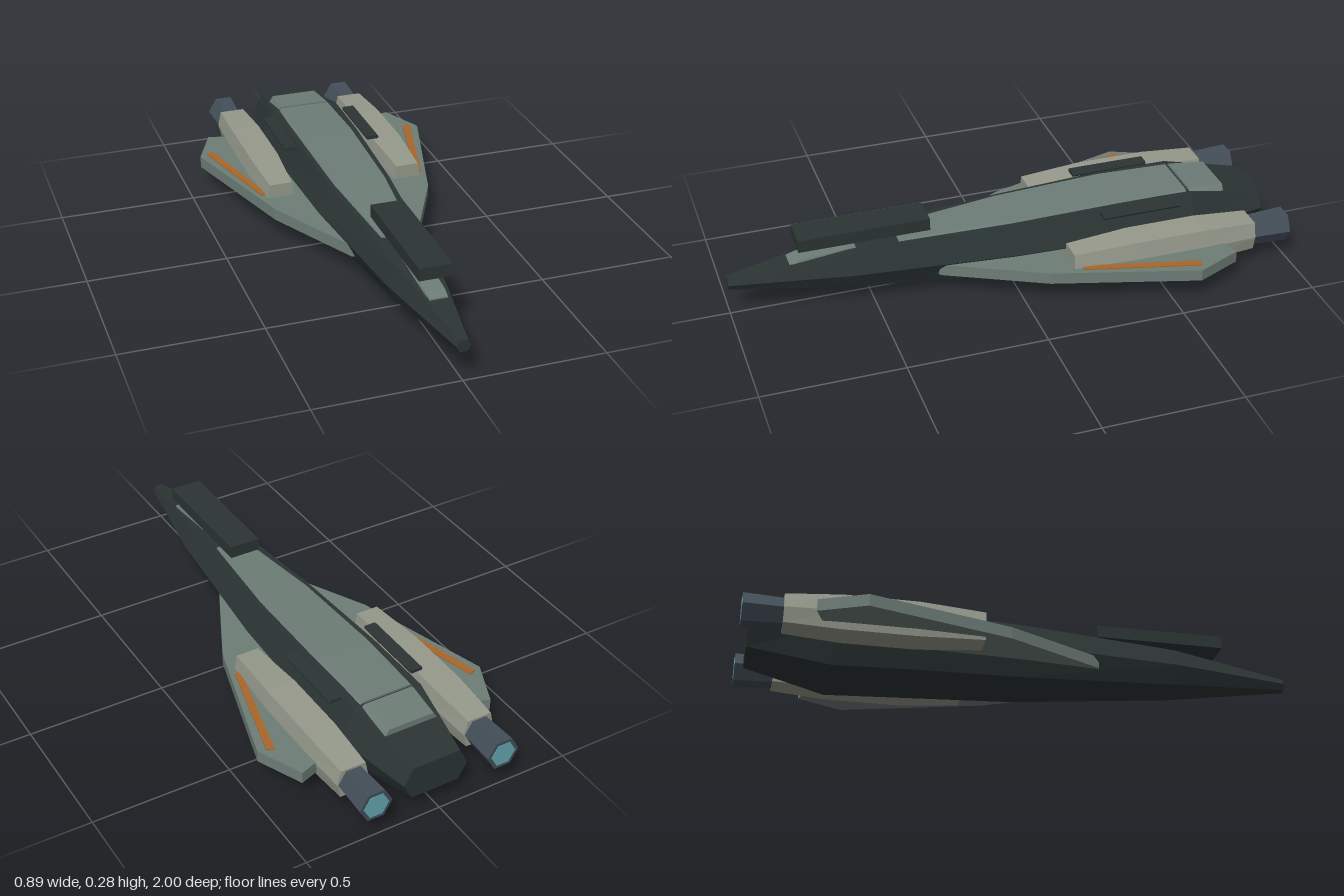
import * as THREE from 'three';

const mat = (name, color, extra = {}) => {
  const m = new THREE.MeshStandardMaterial({ color, flatShading: true, ...extra });
  m.name = name;
  return m;
};

// Joins rings of [x, y, z] points (counter-clockwise from the front, ordered nose to tail) and caps the ends.
function loft(rings) {
  const pos = [], n = rings[0].length;
  const tri = (...pts) => pts.forEach(p => pos.push(...p));
  for (let i = 0; i < rings.length - 1; i++) {
    const f = rings[i], r = rings[i + 1];
    for (let k = 0; k < n; k++) {
      const m = (k + 1) % n;
      tri(f[k], r[k], r[m]);
      tri(f[k], r[m], f[m]);
    }
  }
  const first = rings[0], last = rings[rings.length - 1];
  for (let k = 1; k < n - 1; k++) {
    tri(first[0], first[k], first[k + 1]);
    tri(last[0], last[k + 1], last[k]);
  }
  const g = new THREE.BufferGeometry();
  g.setAttribute('position', new THREE.Float32BufferAttribute(pos, 3));
  g.computeVertexNormals();
  return g;
}

// Six-sided section: half width at the waist, half width of the flats, bottom, waist and top heights.
const hex = (z, waist, flat, y0, ym, y1) => [
  [waist, ym, z], [flat, y1, z], [-flat, y1, z], [-waist, ym, z], [-flat, y0, z], [flat, y0, z],
];

// Trapezoid section for the raised deck panels.
const trap = (z, base, top, y0, y1) => [[base, y0, z], [top, y1, z], [-top, y1, z], [-base, y0, z]];

// Flat outline of [x, z] points with thickness upward from y.
function plate(points, y, thickness) {
  const shape = new THREE.Shape(points.map(([x, z]) => new THREE.Vector2(x, -z)));
  const g = new THREE.ExtrudeGeometry(shape, { depth: thickness, bevelEnabled: false });
  return g.rotateX(-Math.PI / 2).translate(0, y, 0);
}

export function createModel() {
  const root = new THREE.Group();
  root.name = 'spacecraft';
  const hullMat = mat('dark hull', 0x2b3434);
  const panelMat = mat('grey green panel', 0x6e7d77);
  const nacelleMat = mat('warm grey nacelle', 0x969a8c);
  const nozzleMat = mat('slate nozzle', 0x434e58);
  const stripeMat = mat('orange stripe', 0xa8672a);
  const glowMat = mat('cyan glow', 0x64a6b0);
  const add = (name, geometry, material, parent = root) => {
    const m = new THREE.Mesh(geometry, material);
    m.name = name;
    parent.add(m);
    return m;
  };

  // Long faceted hull
  add('hull', loft([
    hex(1, 0.025, 0.014, 0.107, 0.128, 0.149),
    hex(0.57, 0.103, 0.072, 0.065, 0.13, 0.202),
    hex(0, 0.156, 0.112, 0.024, 0.128, 0.227),
    hex(-0.4, 0.17, 0.125, 0.011, 0.126, 0.239),
    hex(-0.68, 0.179, 0.13, 0, 0.123, 0.235),
    hex(-0.97, 0.122, 0.09, 0.06, 0.12, 0.182),
  ]), hullMat);

  // Raised deck panels along the spine
  add('spinePanel', loft([
    trap(0.4, 0.064, 0.055, 0.2, 0.214),
    trap(0, 0.104, 0.092, 0.215, 0.234),
    trap(-0.4, 0.115, 0.1, 0.225, 0.247),
    trap(-0.67, 0.112, 0.094, 0.225, 0.243),
  ]), panelMat);
  add('rearPanel', loft([
    trap(-0.682, 0.112, 0.094, 0.222, 0.243),
    trap(-0.82, 0.106, 0.086, 0.2, 0.232),
  ]), panelMat);
  add('nosePanel', loft([
    trap(0.785, 0.036, 0.03, 0.168, 0.18),
    trap(0.75, 0.038, 0.034, 0.17, 0.188),
    trap(0.55, 0.045, 0.038, 0.19, 0.207),
  ]), panelMat);

  // Sensor block held over the nose
  add('sensorBlock', new THREE.BoxGeometry(0.117, 0.046, 0.47).translate(0, 0.258, 0.52), hullMat);

  for (const s of [1, -1]) {
    const side = new THREE.Group();
    side.name = s > 0 ? 'leftSide' : 'rightSide';
    root.add(side);
    const mirror = pts => pts.map(([x, z]) => [s * x, z]);

    // Swept wing with stripe
    add('wing', plate(mirror([
      [0.09, 0.28], [0.12, 0.27], [0.295, -0.08], [0.443, -0.59], [0.37, -0.755], [0.1, -0.66],
    ]), 0.081, 0.043), panelMat, side);
    add('wingStripe', plate(mirror([
      [0.288, -0.2], [0.312, -0.2], [0.415, -0.6], [0.388, -0.61],
    ]), 0.123, 0.005), stripeMat, side);

    // Shoulder rail
    add('shoulderRail', loft([
      hex(-0.32, 0.024, 0.021, 0.228, 0.235, 0.241),
      hex(-0.61, 0.024, 0.021, 0.228, 0.235, 0.241),
    ]).translate(s * 0.16, 0, 0), hullMat, side);

    // Engine nacelle, nozzle and exhaust
    const engine = new THREE.Group();
    engine.name = 'engine';
    engine.position.x = s * 0.245;
    side.add(engine);
    add('nacelle', loft([
      hex(-0.17, 0.051, 0.042, 0.07, 0.122, 0.175),
      hex(-0.4, 0.066, 0.054, 0.056, 0.121, 0.187),
      hex(-0.66, 0.066, 0.054, 0.056, 0.121, 0.187),
      hex(-0.86, 0.058, 0.046, 0.068, 0.12, 0.175),
    ]), nacelleMat, engine);
    add('nozzle', loft([
      hex(-0.84, 0.054, 0.027, 0.073, 0.12, 0.167),
      hex(-0.998, 0.061, 0.0305, 0.067, 0.12, 0.173),
    ]), nozzleMat, engine);
    add('exhaustGlow', loft([
      hex(-0.995, 0.047, 0.0235, 0.079, 0.12, 0.161),
      hex(-1, 0.047, 0.0235, 0.079, 0.12, 0.161),
    ]), glowMat, engine);
  }
  return root;
}
